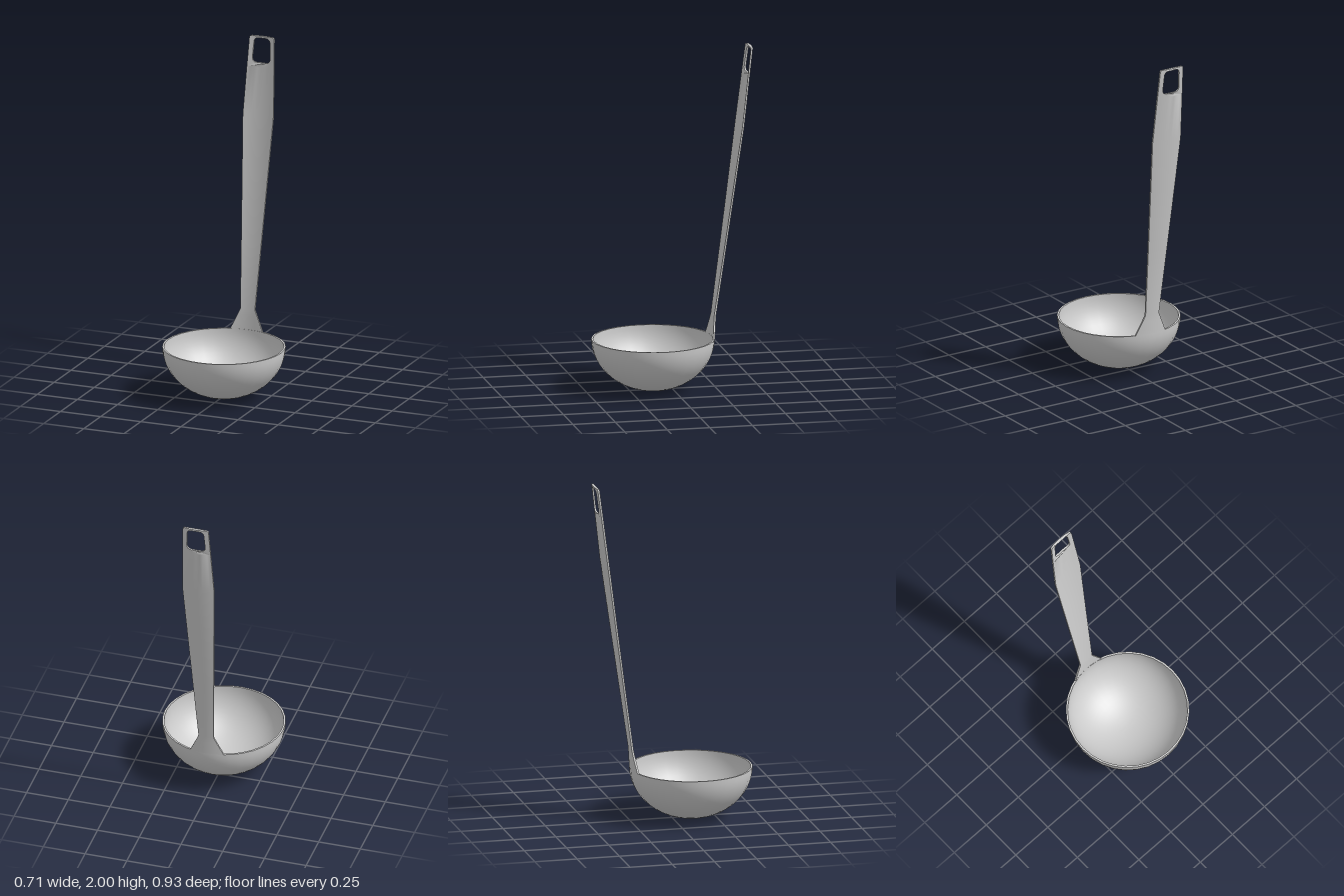
import * as THREE from 'three';
import { mergeGeometries, toCreasedNormals } from 'three/addons/utils/BufferGeometryUtils.js';

const R = 0.355, RIM = 0.3, BOWL_Z = 0.112, WALL = 0.011;
const JOIN = 1.82, COLS = 8;

// Handle stations: height, half width, z of the back face on the centre line
const STATIONS = [
  [0.3, 0.1, -0.243],
  [0.42, 0.045, -0.251],
  [1.54, 0.095, -0.416],
  [2.0, 0.077, -0.467],
];

function stationAt(y, k) {
  let i = 0;
  while (i < STATIONS.length - 2 && y > STATIONS[i + 1][0]) i++;
  const a = STATIONS[i], b = STATIONS[i + 1];
  return THREE.MathUtils.lerp(a[k], b[k], (y - a[0]) / (b[0] - a[0]));
}
const halfWidth = (y) => stationAt(y, 1);
// The back leans away and curls across its width like the bowl wall
const backZ = (x, y) => stationAt(y, 2) + (x * x) / (2 * R);

function createBowl(material) {
  const profile = [];
  const arc = (r, h, t) => new THREE.Vector2(r * Math.sin(t), RIM - h * Math.cos(t));
  const n = 16;
  for (let i = 0; i <= n; i++) profile.push(arc(R, RIM, (i / n) * Math.PI / 2));
  for (let i = n; i >= 0; i--) profile.push(arc(R - WALL, RIM - WALL, (i / n) * Math.PI / 2));
  const bowl = new THREE.Mesh(toCreasedNormals(new THREE.LatheGeometry(profile, 32), 0.7), material);
  bowl.position.z = BOWL_Z;
  bowl.name = 'bowl';
  return bowl;
}

// Closed curved cross-sections from the rim up to the hanging hole
function shaftGeometry() {
  const rows = [0.3, 0.34, 0.38, 0.42, 0.8, 1.18, 1.54, JOIN];
  const pos = [], idx = [], ring = 2 * (COLS + 1);
  for (const y of rows) {
    for (let k = 0; k < ring; k++) {
      const front = k <= COLS;
      const u = front ? k / COLS : (ring - 1 - k) / COLS;
      const x = (2 * u - 1) * halfWidth(y);
      pos.push(x, y, backZ(x, y) + (front ? WALL : 0));
    }
  }
  for (let r = 0; r < rows.length - 1; r++) {
    for (let k = 0; k < ring; k++) {
      const a = r * ring + k, b = r * ring + (k + 1) % ring;
      idx.push(a, b, b + ring, a, b + ring, a + ring);
    }
  }
  // Bottom cap
  for (let k = 0; k < COLS; k++) {
    const p = ring - 1 - k;
    idx.push(k, p, p - 1, k, p - 1, k + 1);
  }
  const g = new THREE.BufferGeometry();
  g.setAttribute('position', new THREE.Float32BufferAttribute(pos, 3));
  g.setIndex(idx);
  return g.toNonIndexed();
}

// Flat head with a rounded hole, bent to follow the shaft
function headGeometry() {
  const w = halfWidth(JOIN), t = halfWidth(2), c = 0.015;
  const shape = new THREE.Shape();
  shape.moveTo(-w, JOIN);
  for (let i = 1; i <= COLS; i++) shape.lineTo((2 * i / COLS - 1) * w, JOIN);
  shape.lineTo(t, 2 - c);
  shape.quadraticCurveTo(t, 2, t - c, 2);
  for (let i = 1; i <= 6; i++) shape.lineTo((1 - i / 3) * (t - c), 2);
  shape.quadraticCurveTo(-t, 2, -t, 2 - c);
  shape.closePath();

  const hole = new THREE.Path();
  const b = 0.055, h = 0.05, lo = 1.845, hi = 1.988, r = 0.028;
  hole.moveTo(-b + r, lo);
  hole.lineTo(0, lo);
  hole.lineTo(b - r, lo);
  hole.quadraticCurveTo(b, lo, b, lo + r);
  hole.lineTo(h, hi - r);
  hole.quadraticCurveTo(h, hi, h - r, hi);
  hole.lineTo(0, hi);
  hole.lineTo(-h + r, hi);
  hole.quadraticCurveTo(-h, hi, -h, hi - r);
  hole.lineTo(-b, lo + r);
  hole.quadraticCurveTo(-b, lo, -b + r, lo);
  shape.holes.push(hole);

  const g = new THREE.ExtrudeGeometry(shape, { depth: WALL, bevelEnabled: false, curveSegments: 6 });
  const p = g.attributes.position;
  for (let i = 0; i < p.count; i++) p.setZ(i, p.getZ(i) + backZ(p.getX(i), p.getY(i)));
  g.deleteAttribute('uv');
  g.deleteAttribute('normal');
  return g;
}

export function createModel() {
  const material = new THREE.MeshStandardMaterial({ color: 0xcccccc });
  const group = new THREE.Group();
  group.name = 'ladle';
  const handle = new THREE.Mesh(
    toCreasedNormals(mergeGeometries([shaftGeometry(), headGeometry()]), 0.7), material);
  handle.name = 'handle';
  group.add(createBowl(material), handle);
  return group;
}
